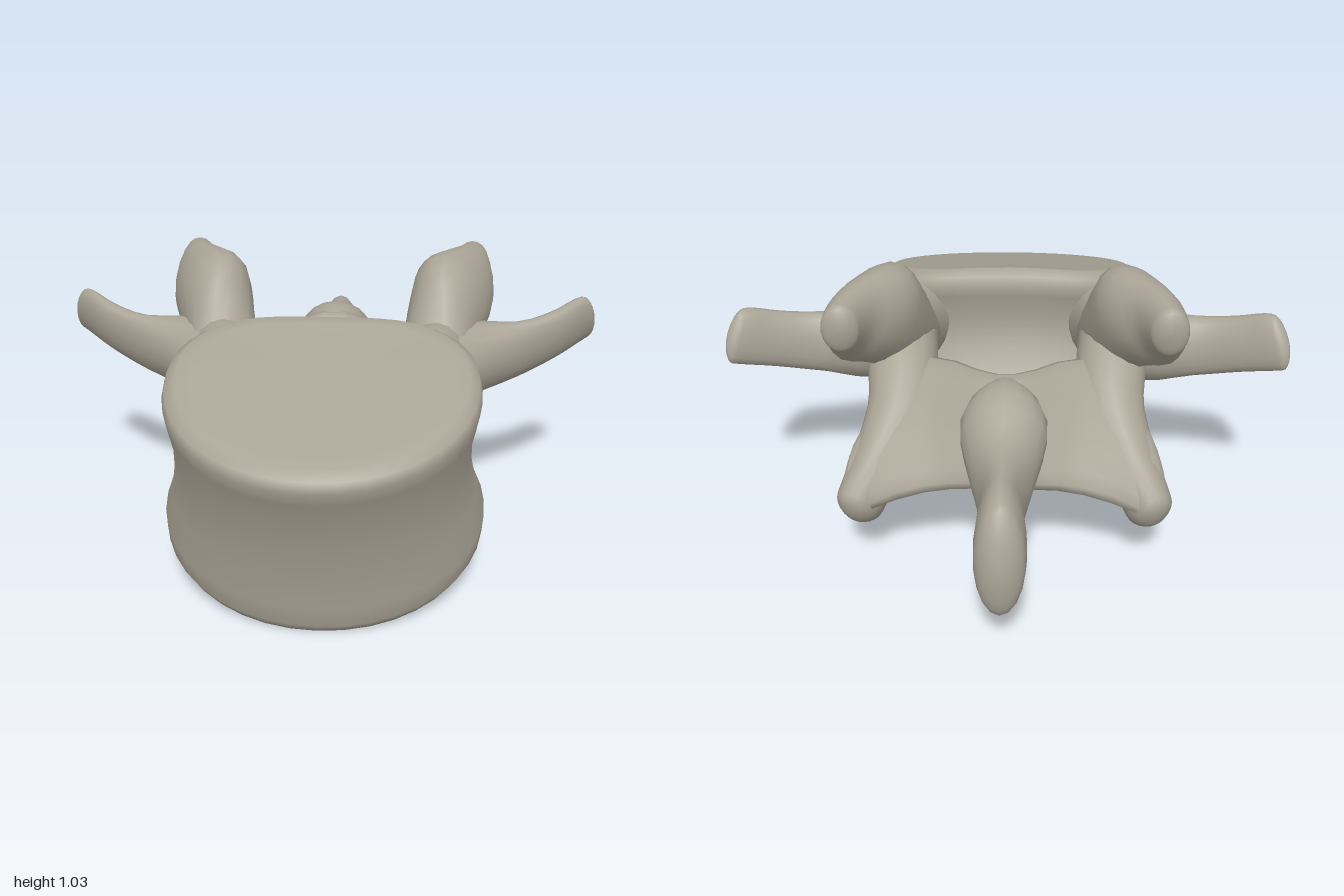
import * as THREE from 'three';

const bone = new THREE.MeshStandardMaterial({ color: 0xaaa496 });
bone.name = 'bone';

// Skin a list of closed rings (all with the same number of points) and close both ends
function skin(name, rings) {
  const n = rings[0].length, pos = [], idx = [];
  for (const ring of rings) for (const p of ring) pos.push(p.x, p.y, p.z);
  for (let i = 0; i < rings.length - 1; i++) {
    for (let j = 0; j < n; j++) {
      const a = i * n + j, b = i * n + (j + 1) % n;
      idx.push(a, b, b + n, a, b + n, a + n);
    }
  }
  [0, rings.length - 1].forEach((r, end) => {
    const c = new THREE.Vector3();
    rings[r].forEach((p) => c.addScaledVector(p, 1 / n));
    const k = pos.length / 3;
    pos.push(c.x, c.y, c.z);
    for (let j = 0; j < n; j++) {
      const a = r * n + j, b = r * n + (j + 1) % n;
      if (end) idx.push(k, a, b); else idx.push(k, b, a);
    }
  });
  const g = new THREE.BufferGeometry();
  g.setAttribute('position', new THREE.Float32BufferAttribute(pos, 3));
  g.setIndex(idx);
  g.computeVertexNormals();
  const mesh = new THREE.Mesh(g, bone);
  mesh.name = name;
  return mesh;
}

// Loft of oval sections. Station: centre xyz, tall half-axis xyz, thin half-width
function loft(name, stations, side = 1, roundStart = false) {
  const curve = (f) => new THREE.CatmullRomCurve3(stations.map(f), false, 'catmullrom', 0.5);
  const centre = curve((s) => new THREE.Vector3(s[0] * side, s[1], s[2]));
  const tall = curve((s) => new THREE.Vector3(s[3] * side, s[4], s[5]));
  const thin = curve((s) => new THREE.Vector3(s[6], 0, 0));
  const ts = [0, 0.005, 0.02, 0.04];
  for (let i = 0; i <= 12; i++) ts.push(0.06 + i * 0.068);
  ts.push(0.91, 0.94, 0.965, 0.985, 0.996, 1);
  const dome = (d) => (d >= 0.12 ? 1 : Math.max(0.03, Math.sqrt(1 - (1 - d / 0.12) ** 2)));
  const rings = ts.map((t) => {
    const k = dome(1 - t) * (roundStart ? dome(t) : 1);
    const c = centre.getPoint(t), u = tall.getPoint(t);
    const v = new THREE.Vector3().crossVectors(centre.getTangent(t), u).normalize();
    v.multiplyScalar(thin.getPoint(t).x * k);
    u.multiplyScalar(k);
    return Array.from({ length: 18 }, (_, j) => {
      const a = (j / 18) * Math.PI * 2;
      return c.clone().addScaledVector(u, Math.cos(a)).addScaledVector(v, Math.sin(a));
    });
  });
  return skin(name, rings);
}

// Tilted kidney-shaped ring: half width, front z, back z, front y, back y, back dent
function bodyRing([w, zf, zb, yf, yb, dent]) {
  const zc = zb + 0.42 * (zf - zb);
  return Array.from({ length: 40 }, (_, j) => {
    const a = (j / 40) * Math.PI * 2, c = Math.cos(a);
    // Round in front, squarer behind
    const pw = (v) => Math.sign(v) * Math.abs(v) ** (c > 0 ? 0.98 : 0.86);
    let z = zc + pw(c) * (c > 0 ? zf - zc : zc - zb);
    const y = yf + (yb - yf) * (zf - z) / (zf - zb);
    z += dent * Math.max(0, -c) ** 8;
    return new THREE.Vector3(w * pw(Math.sin(a)), y, z);
  });
}

export function createModel() {
  const group = new THREE.Group();
  group.name = 'vertebra';

  // Waisted body with rimmed, tilted end plates
  group.add(skin('vertebralBody', [
    [0.25, 0.6, 0.25, 0.09, 0.22, 0],
    [0.5, 0.79, 0.08, 0.012, 0.27, 0.01],
    [0.545, 0.82, 0.035, 0.0, 0.28, 0.02],
    [0.565, 0.84, 0.015, 0.03, 0.31, 0.03],
    [0.568, 0.85, 0.02, 0.1, 0.36, 0.03],
    [0.53, 0.87, 0.085, 0.22, 0.45, 0.03],
    [0.505, 0.9, 0.15, 0.34, 0.56, 0.03],
    [0.5, 0.935, 0.17, 0.46, 0.68, 0.04],
    [0.52, 0.975, 0.13, 0.55, 0.79, 0.05],
    [0.525, 0.998, 0.12, 0.6, 0.835, 0.06],
    [0.515, 0.99, 0.135, 0.635, 0.865, 0.06],
    [0.48, 0.95, 0.18, 0.66, 0.885, 0.06],
    [0.44, 0.9, 0.23, 0.675, 0.872, 0.04],
    [0.22, 0.7, 0.4, 0.735, 0.825, 0],
  ].map(bodyRing)));

  // Plate of bone arching behind the canal, mirrored about the middle
  const half = [
    [0.57, 0.31, -0.45, 0, 0.08, 0.08, 0.06],
    [0.49, 0.4, -0.4, 0, 0.12, 0.13, 0.065],
    [0.36, 0.5, -0.325, 0, 0.15, 0.22, 0.065],
    [0.22, 0.54, -0.345, 0, 0.145, 0.205, 0.06],
    [0.1, 0.56, -0.41, 0, 0.14, 0.165, 0.07],
  ];
  group.add(loft('lamina', [
    ...half,
    [0, 0.58, -0.43, 0, 0.13, 0.13, 0.075],
    ...half.map(([x, ...rest]) => [-x, ...rest]).reverse(),
  ], 1, true));

  // Rear blade
  group.add(loft('rearSpine', [
    [0, 0.66, -0.3, 0, 0.07, 0.02, 0.06],
    [0, 0.59, -0.45, 0, 0.135, 0, 0.15],
    [0, 0.5, -0.6, 0, 0.14, 0, 0.115],
    [0, 0.455, -0.75, 0, 0.17, 0, 0.075],
    [0, 0.415, -0.89, 0, 0.205, 0.03, 0.085],
    [0, 0.41, -1.0, 0, 0.17, 0.02, 0.075],
  ], 1, true));

  for (const [label, side] of [['left', 1], ['right', -1]]) {
    // Pedicle running back and down into the lower joint
    group.add(loft(label + 'PedicleAndLowerJoint', [
      [0.27, 0.66, 0.34, 0, 0.15, 0, 0.08],
      [0.39, 0.67, 0.13, 0, 0.165, 0, 0.125],
      [0.385, 0.64, -0.07, 0, 0.125, -0.03, 0.13],
      [0.38, 0.54, -0.23, 0, 0.09, -0.06, 0.12],
      [0.44, 0.41, -0.36, 0, 0.08, -0.07, 0.1],
      [0.5, 0.3, -0.45, 0.02, 0.08, -0.07, 0.085],
      [0.535, 0.23, -0.51, 0.02, 0.075, -0.06, 0.075],
    ], side));

    // Upper joint prong
    group.add(loft(label + 'UpperJoint', [
      [0.38, 0.67, 0.15, 0, 0.12, 0, 0.12],
      [0.41, 0.76, 0.01, -0.04, 0.16, 0.05, 0.13],
      [0.46, 0.86, -0.12, -0.085, 0.16, 0.06, 0.13],
      [0.525, 0.885, -0.24, -0.05, 0.14, 0.03, 0.095],
      [0.545, 0.915, -0.35, -0.01, 0.095, 0.01, 0.07],
      [0.545, 0.925, -0.41, 0, 0.08, 0, 0.06],
    ], side));

    // Side wing
    group.add(loft(label + 'SideWing', [
      [0.34, 0.67, 0.14, 0, 0.15, 0, 0.14],
      [0.52, 0.665, 0.03, 0, 0.14, 0.01, 0.125],
      [0.7, 0.685, -0.015, 0, 0.115, 0.02, 0.055],
      [0.84, 0.725, -0.075, -0.01, 0.1, 0.03, 0.045],
      [0.94, 0.765, -0.135, -0.02, 0.095, 0.04, 0.038],
      [1.0, 0.78, -0.17, -0.02, 0.085, 0.04, 0.035],
    ], side));
  }
  return group;
}
